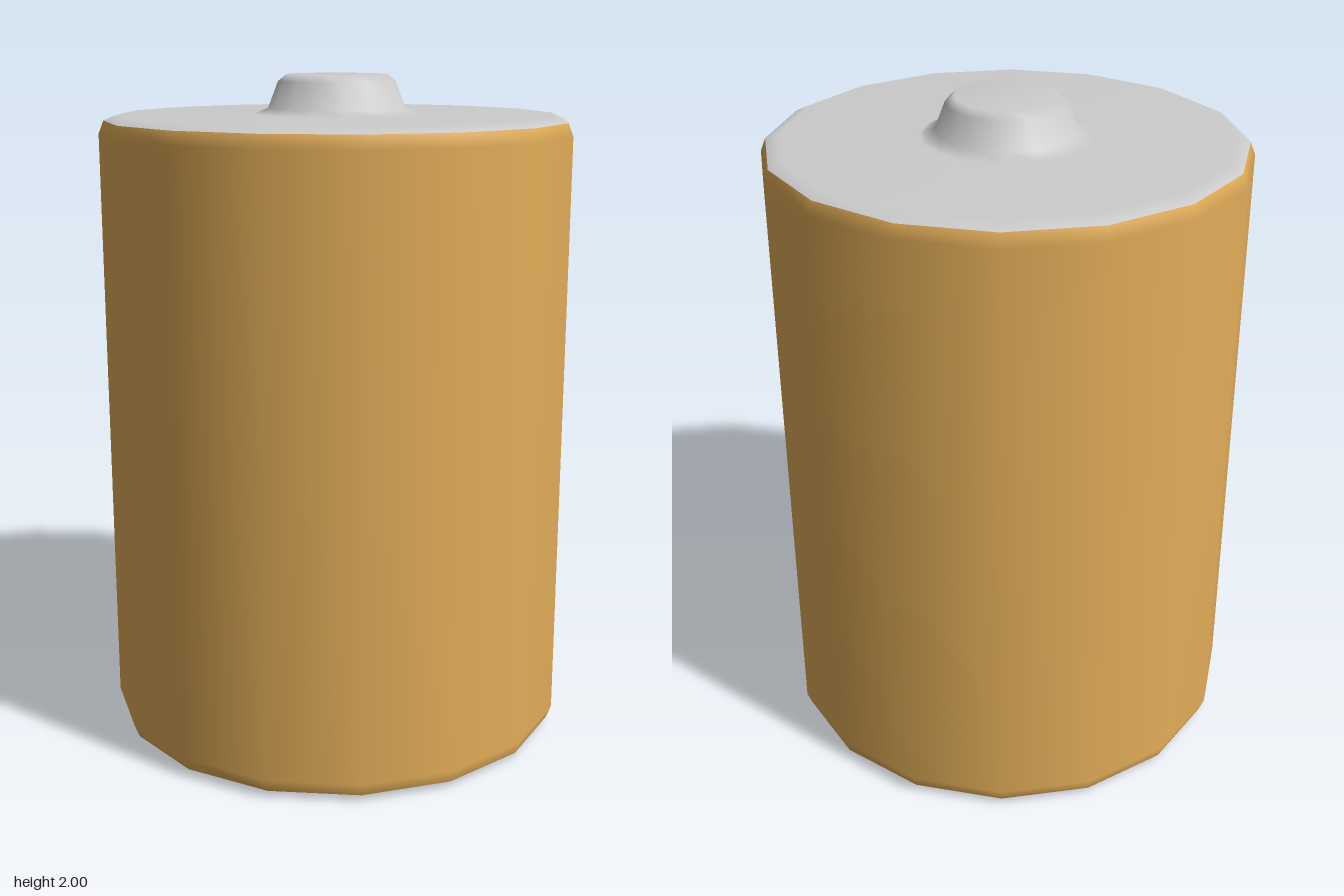
import * as THREE from 'three';

const SIDES = 16;

// Turns a profile of [radius, height] points, listed from bottom to top of the surface
function turned(name, profile, color) {
  const points = profile.map(([r, y]) => new THREE.Vector2(r, y));
  const mesh = new THREE.Mesh(
    new THREE.LatheGeometry(points, SIDES),
    new THREE.MeshStandardMaterial({ color })
  );
  mesh.name = name;
  return mesh;
}

export function createModel() {
  const model = new THREE.Group();
  model.name = 'battery';

  // Flat metal base with a small bevel up to the casing
  model.add(turned('negativeEnd', [[0, 0], [0.65, 0.003], [0.69, 0.02]], 0xcccccc));

  // Coloured casing, slightly rounded at both rims
  model.add(turned('casing', [[0.69, 0.02], [0.705, 0.06], [0.705, 1.83], [0.69, 1.868]], 0xe3ae59));

  // Metal top plate rising into the contact nub
  model.add(turned('positiveEnd', [
    [0.69, 1.868], [0.65, 1.885], [0.25, 1.885], [0.205, 1.903],
    [0.175, 1.98], [0.15, 2], [0, 2],
  ], 0xcccccc));

  return model;
}
